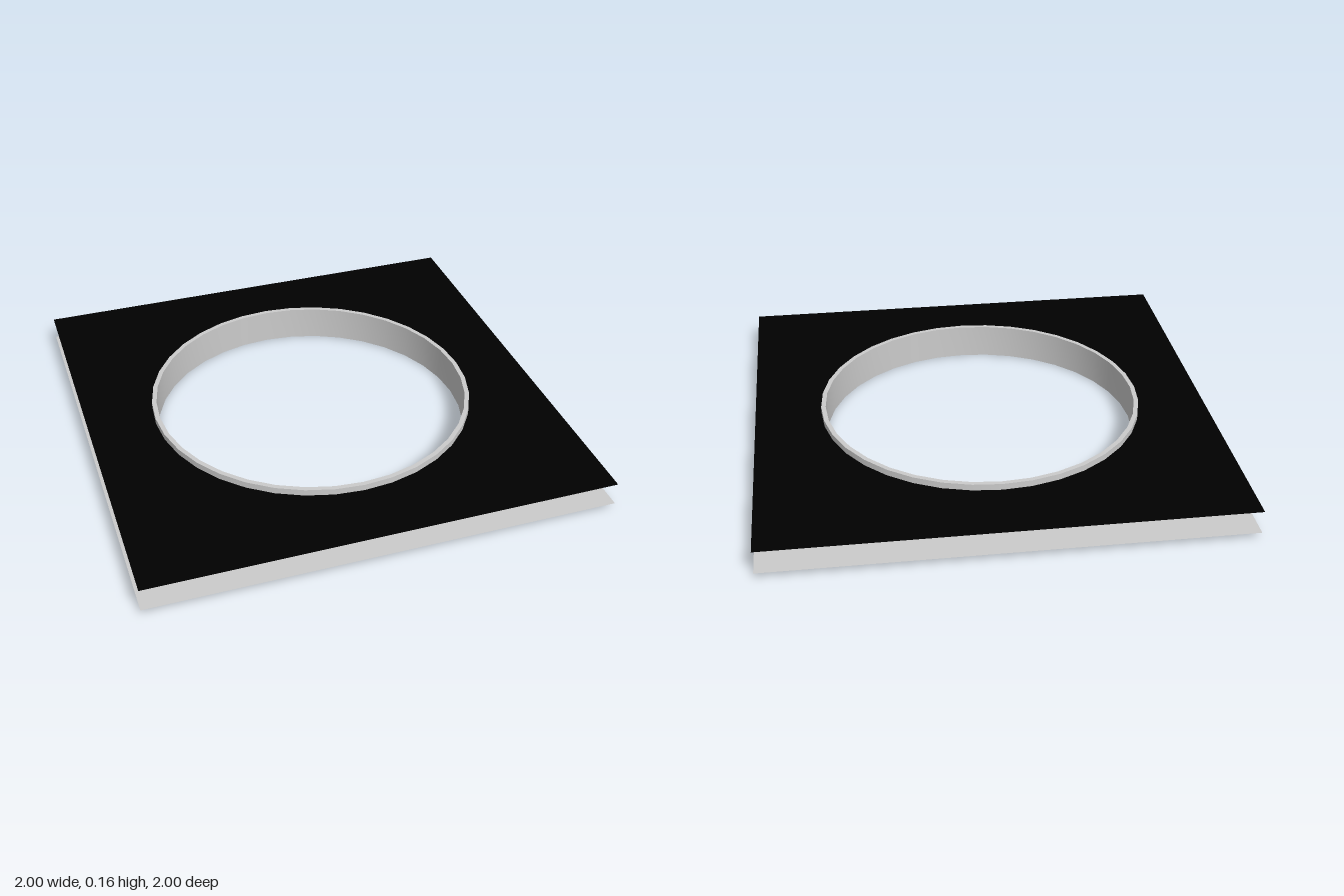
import * as THREE from 'three';
import { toCreasedNormals } from 'three/addons/utils/BufferGeometryUtils.js';

const HEIGHT = 0.155, OUTER = 0.71, INNER = 0.69, SIDES = 36;

// Paper-thin square sheet with a round opening
function sheet(name, y, color) {
  const shape = new THREE.Shape([
    new THREE.Vector2(-1, -1), new THREE.Vector2(1, -1),
    new THREE.Vector2(1, 1), new THREE.Vector2(-1, 1),
  ]);
  const hole = new THREE.Path();
  hole.absarc(0, 0, (OUTER + INNER) / 2, 0, Math.PI * 2, true);
  shape.holes.push(hole);
  const geometry = new THREE.ShapeGeometry(shape, SIDES / 2).rotateX(-Math.PI / 2);
  const mesh = new THREE.Mesh(geometry, new THREE.MeshStandardMaterial({ color, side: THREE.DoubleSide }));
  mesh.name = name;
  mesh.position.y = y;
  return mesh;
}

export function createModel() {
  const group = new THREE.Group();
  group.name = 'ringedPanel';

  // Upper black sheet and lower grey sheet, evenly inset from the ring's rims
  group.add(sheet('upperSheet', HEIGHT / 2 + 0.05, 0x000000));
  group.add(sheet('lowerSheet', HEIGHT / 2 - 0.05, 0xcccccc));

  // Short tube lining the opening, with sharp rims
  const profile = [[OUTER, 0], [OUTER, HEIGHT], [INNER, HEIGHT], [INNER, 0], [OUTER, 0]]
    .map(([r, y]) => new THREE.Vector2(r, y));
  const ring = new THREE.Mesh(
    toCreasedNormals(new THREE.LatheGeometry(profile, SIDES), Math.PI / 6),
    new THREE.MeshStandardMaterial({ color: 0xcccccc }),
  );
  ring.name = 'ring';
  group.add(ring);
  return group;
}
